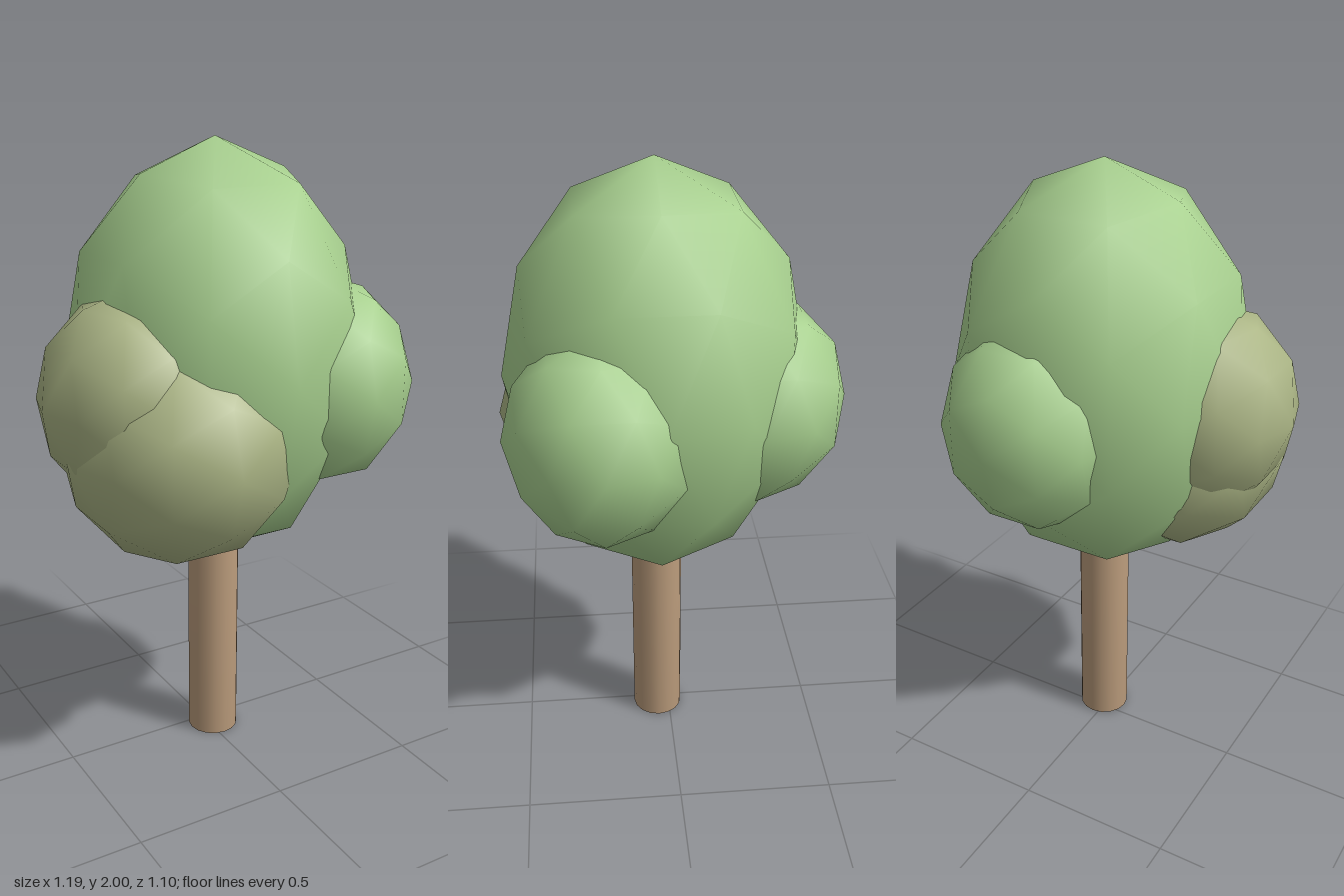
import * as THREE from 'three';
import { mergeVertices } from 'three/addons/utils/BufferGeometryUtils.js';

const material = (name, color) => {
  const m = new THREE.MeshStandardMaterial({ color });
  m.name = name;
  return m;
};

export function createModel() {
  const tree = new THREE.Group();
  tree.name = 'tree';

  const leafGreen = material('leaf green', 0xa8d08f);
  const leafOlive = material('leaf olive', 0xabb585);
  const bark = material('bark brown', 0xbb9c7c);

  // Trunk: straight post with softly shaded rims, running up into the crown
  let post = new THREE.CylinderGeometry(0.084, 0.084, 0.9, 16);
  post.deleteAttribute('uv');
  post.deleteAttribute('normal');
  post = mergeVertices(post);
  post.computeVertexNormals();
  const trunk = new THREE.Mesh(post, bark);
  trunk.name = 'trunk';
  trunk.position.set(0.02, 0.45, 0.04);
  tree.add(trunk);

  // Foliage: smooth low-poly balls, each with a width and height radius
  const ball = new THREE.IcosahedronGeometry(1, 1);
  const foliage = [
    ['crown', leafGreen, [0.02, 1.335, 0.04], 0.475, 0.665],
    ['leftLeafClump', leafGreen, [0.3, 1.255, 0.22], 0.293, 0.335],
    ['backLeafClump', leafGreen, [0.08, 1.255, -0.257], 0.293, 0.335],
    ['rightLeafClump', leafOlive, [-0.303, 1.255, 0.115], 0.293, 0.335],
    ['frontLeafClump', leafOlive, [-0.18, 1.107, 0.175], 0.37, 0.367],
  ];
  for (const [name, mat, centre, width, height] of foliage) {
    const clump = new THREE.Mesh(ball, mat);
    clump.name = name;
    clump.position.set(...centre);
    clump.scale.set(width, height, width);
    tree.add(clump);
  }

  return tree;
}
